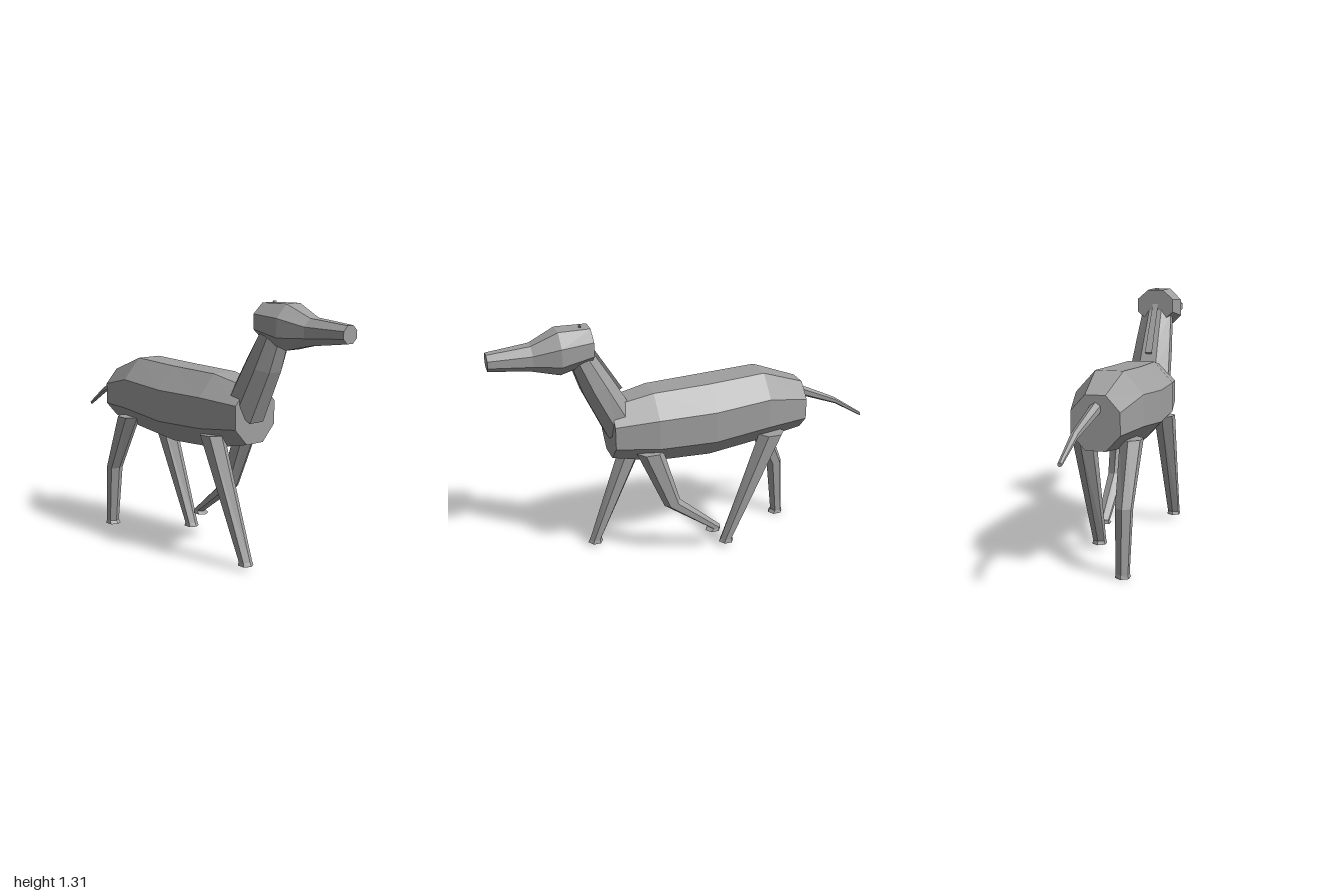
import * as THREE from 'three';

const coat = new THREE.MeshStandardMaterial({ color: 0xa0a0a0 });
coat.name = 'grey coat';

// A ring spans two side-plane points a, b given as [z, y], with half width w about x.
// flat = true puts flat sides at a and b; otherwise corners sit there.
function ring(a, b, w, x, n, flat) {
  const off = flat ? Math.PI / n : 0;
  const k = flat ? 1 / Math.cos(Math.PI / n) : 1;
  const kx = n === 8 ? k : 1 / Math.sin(Math.PI / 3);
  const cz = (a[0] + b[0]) / 2, cy = (a[1] + b[1]) / 2;
  const dz = (a[0] - b[0]) / 2, dy = (a[1] - b[1]) / 2;
  return Array.from({ length: n }, (_, i) => {
    const t = off + (i / n) * Math.PI * 2, c = Math.cos(t) * k;
    return new THREE.Vector3(x + Math.sin(t) * w * kx, cy + c * dy, cz + c * dz);
  });
}

// Faceted closed skin through a list of [a, b, halfWidth, x] sections.
function loft(name, sections, n, flat = false) {
  const rings = sections.map(([a, b, w, x = 0]) => ring(a, b, w, x, n, flat));
  const tris = [];
  const mid = r => r.reduce((s, p) => s.add(p), new THREE.Vector3()).divideScalar(n);
  const first = rings[0], last = rings[rings.length - 1];
  const c0 = mid(first), c1 = mid(last);
  for (let i = 0; i < n; i++) {
    const j = (i + 1) % n;
    tris.push([c0, first[j], first[i]], [c1, last[i], last[j]]);
    for (let r = 0; r + 1 < rings.length; r++) {
      const p = rings[r], q = rings[r + 1];
      tris.push([p[i], p[j], q[j]], [p[i], q[j], q[i]]);
    }
  }
  // Turn every face outward using the signed volume
  const v = new THREE.Vector3();
  const volume = tris.reduce((s, [a, b, c]) => s + a.dot(v.crossVectors(b, c)), 0);
  if (volume < 0) tris.forEach(t => t.reverse());
  const geo = new THREE.BufferGeometry().setFromPoints(tris.flat());
  geo.computeVertexNormals();
  const mesh = new THREE.Mesh(geo, coat);
  mesh.name = name;
  return mesh;
}

// Upright sections given as [z, top, bottom, halfWidth]
const upright = list => list.map(([z, t, b, w]) => [[z, t], [z, b], w]);

export function createModel() {
  const g = new THREE.Group();
  g.name = 'animal';

  g.add(loft('body', upright([
    [0.42, 0.89, 0.605, 0.135],
    [0.2, 0.935, 0.56, 0.172],
    [-0.1, 0.945, 0.55, 0.184],
    [-0.4, 0.96, 0.585, 0.17],
    [-0.63, 0.875, 0.612, 0.12],
  ]), 8, true));

  g.add(loft('head', upright([
    [0.5, 1.302, 1.13, 0.1],
    [0.66, 1.304, 1.088, 0.113],
    [0.79, 1.245, 1.118, 0.07],
    [1.0, 1.225, 1.143, 0.046],
  ]), 8, true));

  g.add(loft('neck', [
    [[0.43, 0.71], [0.33, 0.905], 0.11],
    [[0.55, 0.97], [0.405, 1.035], 0.097],
    [[0.6, 1.12], [0.5, 1.19], 0.083],
  ], 8, true));

  // Thin ridge running up the nape and out of the crown
  g.add(loft('mane', [
    [[0.38, 0.94], [0.335, 0.975], 0.02],
    [[0.505, 1.17], [0.475, 1.195], 0.016],
    [[0.553, 1.3], [0.538, 1.315], 0.012],
  ], 3));

  g.add(loft('tail', [
    [[-0.6, 0.855], [-0.6, 0.79], 0.026, -0.004],
    [[-0.84, 0.745], [-0.85, 0.705], 0.017, 0.028],
    [[-1.0, 0.637], [-1.0, 0.617], 0.01, 0.043],
  ], 6));

  // Legs: front and rear edge points from hip to sole
  const leg = (name, side, rows) =>
    g.add(loft(name, rows.map(([a, b, w]) => [a, b, w, side * 0.12]), 6));

  leg('frontRightLeg', -1, [
    [[0.31, 0.64], [0.17, 0.64], 0.05],
    [[0.515, 0.04], [0.45, 0.04], 0.03],
    [[0.525, 0.022], [0.443, 0.022], 0.034],
  ]);
  leg('frontLeftLeg', 1, [
    [[0.31, 0.64], [0.17, 0.64], 0.05],
    [[0.165, 0.31], [0.08, 0.335], 0.039],
    [[-0.09, 0.127], [-0.145, 0.138], 0.03],
    [[-0.065, 0.115], [-0.15, 0.115], 0.034],
  ]);
  leg('hindLeftLeg', 1, [
    [[-0.36, 0.64], [-0.505, 0.64], 0.05],
    [[-0.155, 0.045], [-0.22, 0.045], 0.03],
    [[-0.145, 0.026], [-0.228, 0.026], 0.034],
  ]);
  leg('hindRightLeg', -1, [
    [[-0.36, 0.64], [-0.5, 0.64], 0.05],
    [[-0.525, 0.33], [-0.61, 0.335], 0.039],
    [[-0.56, 0.018], [-0.627, 0.018], 0.03],
    [[-0.545, 0], [-0.632, 0], 0.034],
  ]);

  return g;
}
